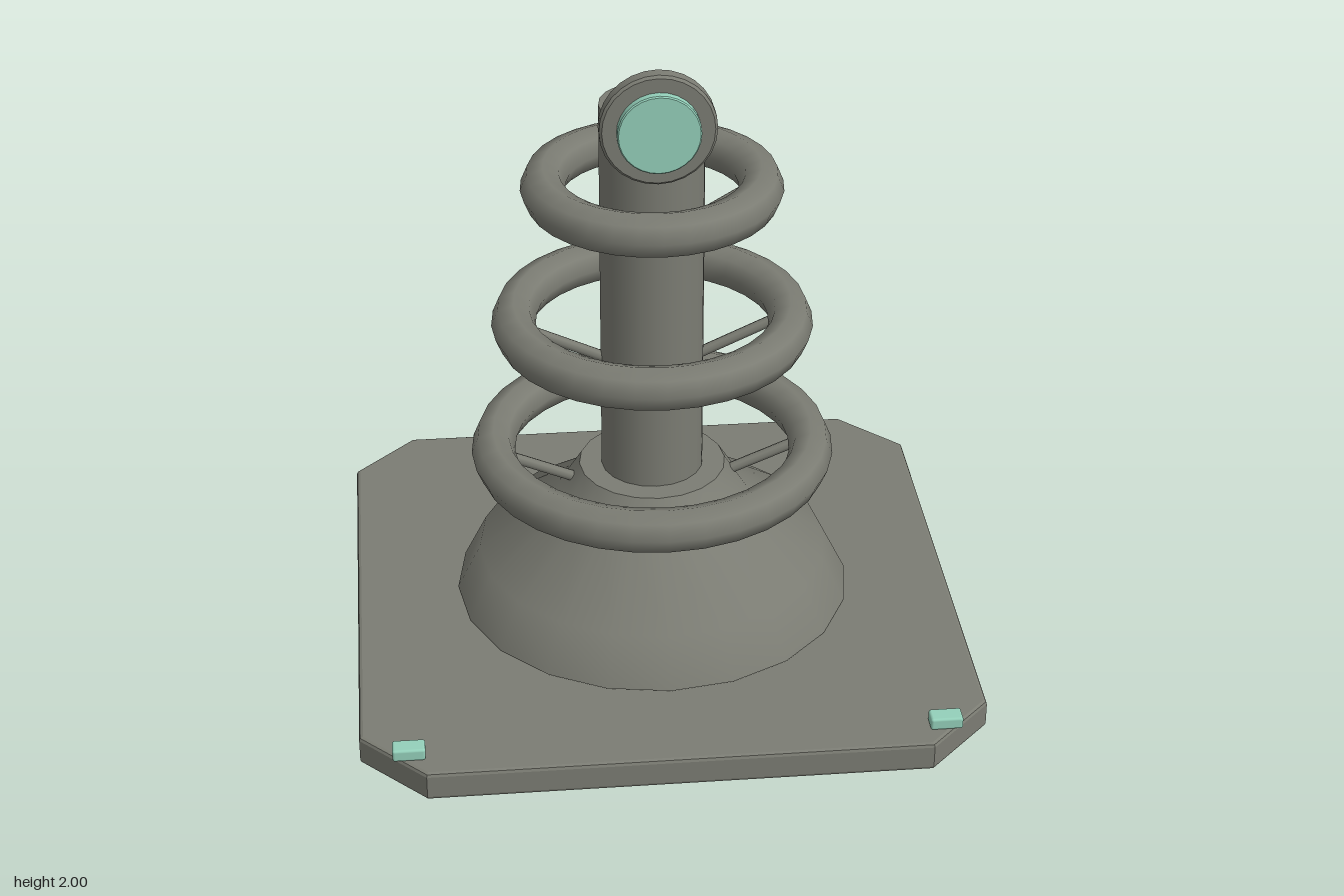
import * as THREE from 'three';
import { RoundedBoxGeometry } from 'three/addons/geometries/RoundedBoxGeometry.js';
import { toCreasedNormals } from 'three/addons/utils/BufferGeometryUtils.js';

export function createModel() {
  const grey = new THREE.MeshStandardMaterial({ color: 0x7b7c73 });
  grey.name = 'warm grey';
  const mint = new THREE.MeshStandardMaterial({ color: 0x94d0ba });
  mint.name = 'mint';
  const group = new THREE.Group();
  const add = (name, geometry, material, x = 0, y = 0, z = 0) => {
    const mesh = new THREE.Mesh(geometry, material);
    mesh.name = name;
    mesh.position.set(x, y, z);
    group.add(mesh);
    return mesh;
  };
  const lathe = (points, segments) => toCreasedNormals(
    new THREE.LatheGeometry(points.map(([r, y]) => new THREE.Vector2(r, y)), segments), 0.75);

  // Square base plate with cut corners and a fine bevel
  const bevel = 0.012, a = 0.97 - bevel, c = 0.765;
  const outline = new THREE.Shape([
    [a, -c], [a, c], [c, a], [-c, a], [-a, c], [-a, -c], [-c, -a], [c, -a],
  ].map(([x, y]) => new THREE.Vector2(x, y)));
  const plate = new THREE.ExtrudeGeometry(outline, {
    depth: 0.096 - 2 * bevel, bevelEnabled: true, bevelSize: bevel, bevelThickness: bevel, bevelSegments: 2,
  });
  plate.rotateX(-Math.PI / 2);
  add('basePlate', plate, grey, 0, bevel, 0);

  // Flared pedestal, closed top and bottom, just clear of the plate
  add('pedestal', lathe([[0, 0.108], [0.64, 0.108], [0.565, 0.26], [0.31, 0.44], [0.235, 0.56], [0, 0.56]], 20), grey);

  // Central column
  add('column', new THREE.CylinderGeometry(0.163, 0.163, 1.32, 20), grey, 0, 1.16, 0);

  // Three shrinking rings, each held by two sloping struts
  const rings = [
    { radius: 0.51, y: 0.62, strutY: 0.465 },
    { radius: 0.435, y: 1.08, strutY: 0.945 },
    { radius: 0.335, y: 1.545, strutY: 1.43 },
  ];
  const up = new THREE.Vector3(0, 1, 0);
  for (const { radius, y, strutY } of rings) {
    const torus = new THREE.TorusGeometry(radius, 0.07, 8, 32);
    torus.rotateX(Math.PI / 2);
    add('ring', torus, grey, 0, y, 0);
    for (const side of [-1, 1]) {
      const inner = new THREE.Vector3(side * 0.14, strutY, 0);
      const outer = new THREE.Vector3(side * radius, y, 0);
      const span = outer.clone().sub(inner);
      const strut = add('strut', new THREE.CylinderGeometry(0.018, 0.018, span.length(), 8), grey);
      strut.position.copy(inner).add(outer).multiplyScalar(0.5);
      strut.quaternion.setFromUnitVectors(up, span.normalize());
    }
  }

  // Front disc at the top with a raised mint face
  const disc = (r, depth, edge) => lathe(
    [[0, 0], [r - edge, 0], [r, edge], [r, depth - edge], [r - edge, depth], [0, depth]], 28).rotateX(Math.PI / 2);
  add('lampHousing', disc(0.177, 0.057, 0.008), grey, 0, 1.823, 0.152);
  add('lampFace', disc(0.126, 0.033, 0.004), mint, 0, 1.823, 0.208);

  // Small marker blocks on the front corners
  for (const side of [-1, 1]) {
    add('cornerMarker', new RoundedBoxGeometry(0.1, 0.04, 0.058, 2, 0.008), mint, side * 0.82, 0.114, 0.87);
  }
  return group;
}
